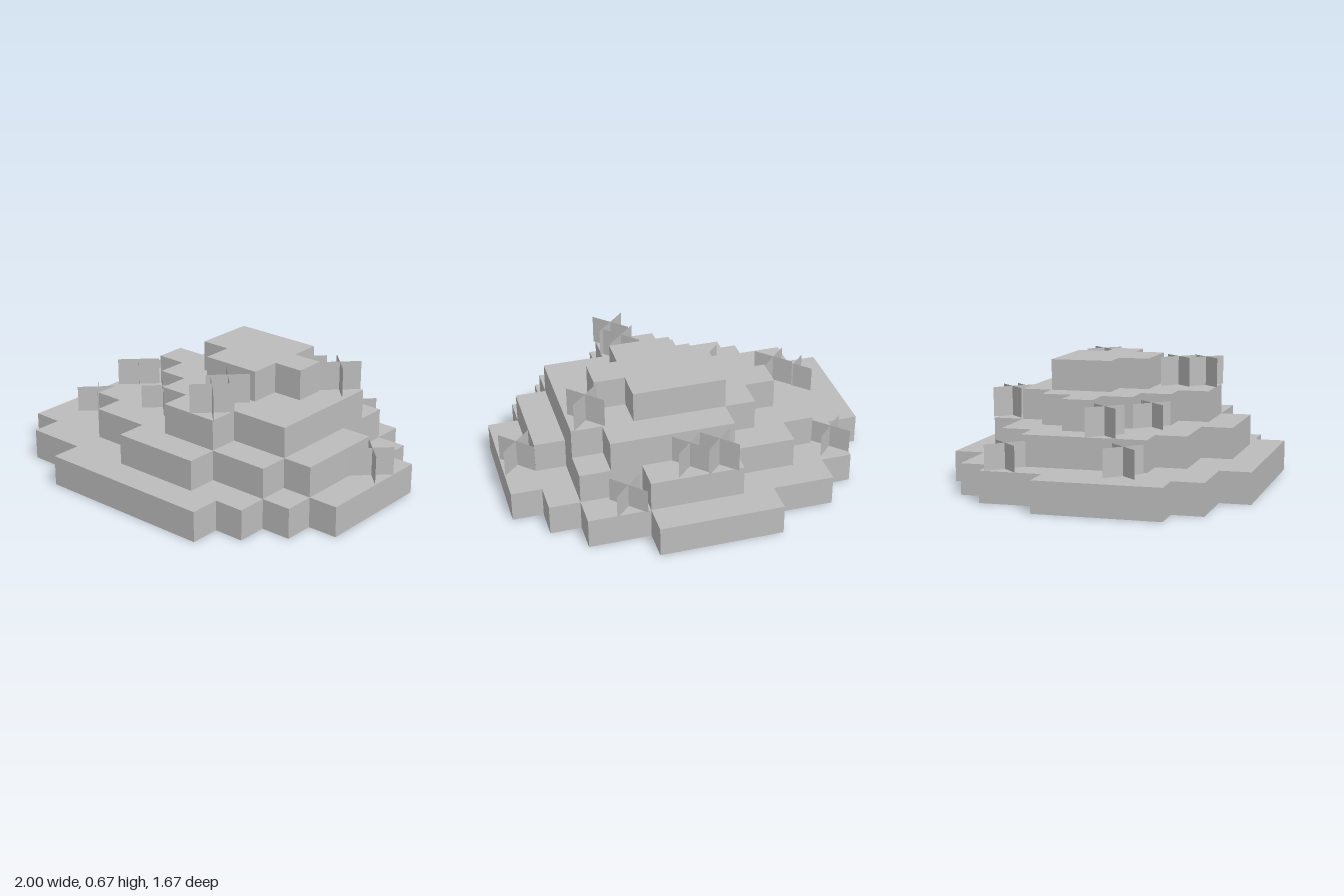
import * as THREE from 'three';

const CELL = 1 / 6;

// Each terrace: first row (z, in cells) and the x span of every row
const TERRACES = [
  { name: 'baseTerrace', start: -5, rows: [[-2, 2], [-4, 4], [-5, 5], [-5, 6], [-6, 6], [-6, 6], [-6, 6], [-6, 5], [-5, 4], [-3, 3]] },
  { name: 'lowerTerrace', start: -4, rows: [[-1, 2], [-3, 4], [-4, 4], [-4, 5], [-4, 5], [-4, 5], [-3, 4], [-1, 2]] },
  { name: 'upperTerrace', start: -3, rows: [[-1, 3], [-2, 4], [-3, 4], [-2, 4], [-1, 4], [0, 2]] },
  { name: 'summit', start: -2, rows: [[-1, 2], [-1, 3], [0, 2]] },
];

// Grass tufts: x, z, terrace they stand on, height
const TUFTS = [
  [0.262, 0.425, 2, 0.16], [0.24, 0.275, 2, 0.16], [0.567, -0.253, 2, 0.16],
  [-0.587, 0.09, 1, 0.152], [-0.25, 0.25, 1, 0.13],
  [0.1, -0.575, 1, 0.15], [-0.05, -0.603, 1, 0.164],
  [0.915, -0.083, 0, 0.155], [0.435, -0.6, 0, 0.135],
  [-0.77, 0.24, 0, 0.148], [-0.75, -0.39, 0, 0.135],
];

const span = (terrace, z) => terrace && terrace.rows[z - terrace.start];

// Open shell of one terrace: a top ring around the next terrace, and its walls
function terraceGeometry(level) {
  const terrace = TERRACES[level];
  const above = TERRACES[level + 1];
  const y0 = level, y1 = level + 1;
  const pos = [];
  const quad = (a, b, c, d) => {
    for (const p of [a, b, c, a, c, d]) pos.push(...p.map((v) => v * CELL));
  };
  const top = (xa, xb, z) => {
    if (xb > xa) quad([xa, y1, z + 1], [xb, y1, z + 1], [xb, y1, z], [xa, y1, z]);
  };
  const frontWall = (xa, xb, z) => {
    if (xb > xa) quad([xa, y0, z], [xb, y0, z], [xb, y1, z], [xa, y1, z]);
  };
  const backWall = (xa, xb, z) => {
    if (xb > xa) quad([xb, y0, z], [xa, y0, z], [xa, y1, z], [xb, y1, z]);
  };

  const end = terrace.start + terrace.rows.length;
  for (let z = terrace.start; z < end; z++) {
    const [a, b] = span(terrace, z);
    const inner = span(above, z);
    if (inner) {
      top(a, inner[0], z);
      top(inner[1], b, z);
    } else {
      top(a, b, z);
    }
    // side walls
    quad([b, y0, z + 1], [b, y0, z], [b, y1, z], [b, y1, z + 1]);
    quad([a, y0, z], [a, y0, z + 1], [a, y1, z + 1], [a, y1, z]);
    // walls where this row sticks out past its neighbours
    for (const [wall, next, edge] of [[backWall, z - 1, z], [frontWall, z + 1, z + 1]]) {
      const other = span(terrace, next);
      if (other) {
        wall(a, other[0], edge);
        wall(other[1], b, edge);
      } else {
        wall(a, b, edge);
      }
    }
  }

  const geometry = new THREE.BufferGeometry();
  geometry.setAttribute('position', new THREE.Float32BufferAttribute(pos, 3));
  geometry.computeVertexNormals();
  return geometry;
}

export function createModel() {
  const model = new THREE.Group();
  model.name = 'terracedHill';
  const stone = new THREE.MeshStandardMaterial({ color: 0xbcbcbc, side: THREE.DoubleSide });
  stone.name = 'light grey';

  // Stepped hill
  TERRACES.forEach((terrace, level) => {
    const mesh = new THREE.Mesh(terraceGeometry(level), stone);
    mesh.name = terrace.name;
    model.add(mesh);
  });

  // Grass tufts: two upright planes crossed on the diagonals
  const blade = new THREE.PlaneGeometry(0.163 * Math.SQRT2, 1).translate(0, 0.5, 0);
  for (const [x, z, level, height] of TUFTS) {
    const tuft = new THREE.Group();
    tuft.name = 'grassTuft';
    for (const side of [-1, 1]) {
      const mesh = new THREE.Mesh(blade, stone);
      mesh.name = 'grassPlane';
      mesh.rotation.y = side * Math.PI / 4;
      tuft.add(mesh);
    }
    tuft.scale.y = height;
    tuft.position.set(x, (level + 1) * CELL, z);
    model.add(tuft);
  }
  return model;
}
